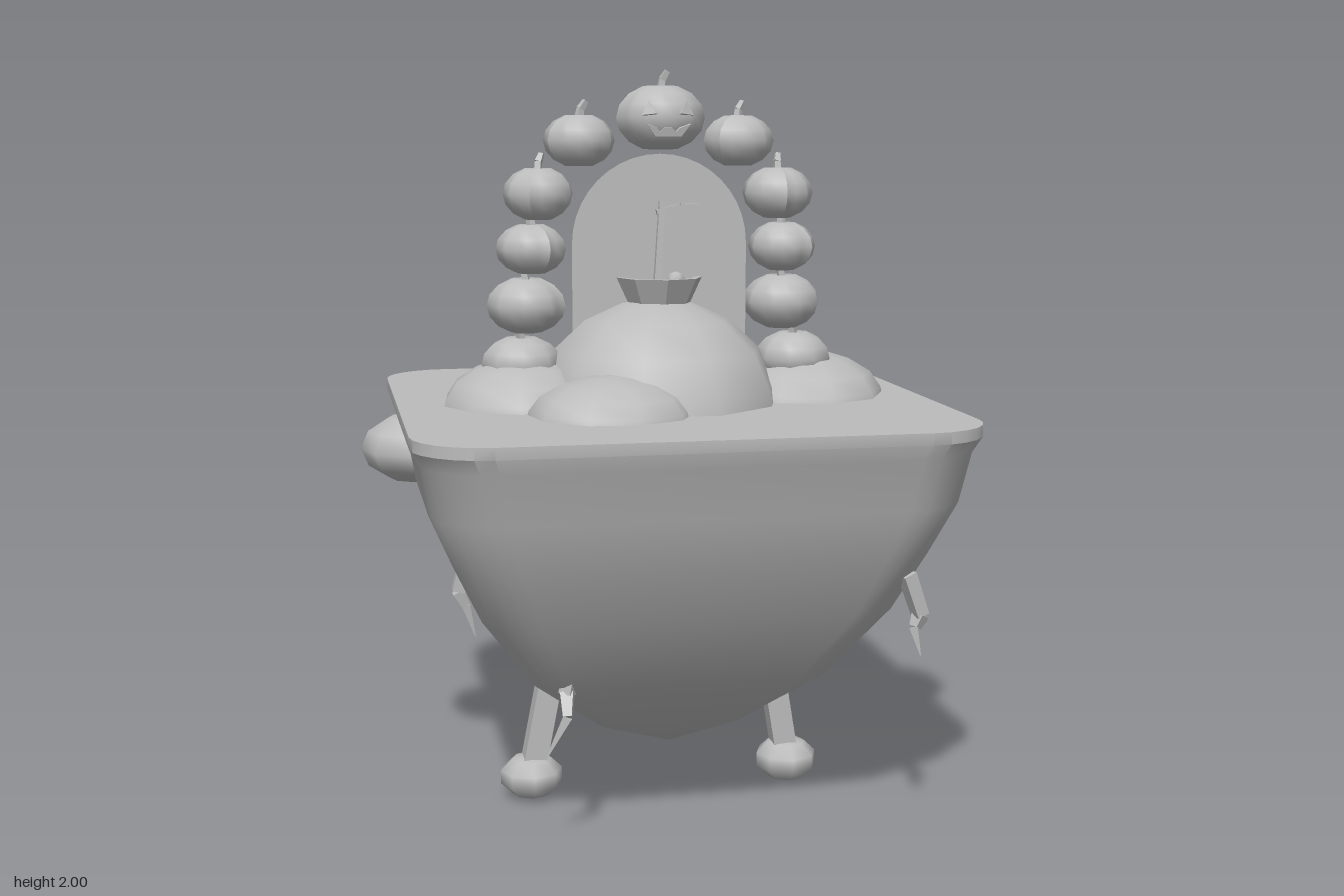
import * as THREE from 'three';
import { toCreasedNormals } from 'three/addons/utils/BufferGeometryUtils.js';

const V = (x, y, z) => new THREE.Vector3(x, y, z);

export function createModel() {
  const root = new THREE.Group();
  const grey = new THREE.MeshStandardMaterial({ color: 0xbcbcbc, side: THREE.DoubleSide });
  grey.name = 'stone grey';

  function add(name, geo, pos = [0, 0, 0], scale = [1, 1, 1], parent = root) {
    const m = new THREE.Mesh(geo, grey);
    m.name = name;
    m.position.set(...pos);
    m.scale.set(...scale);
    parent.add(m);
    return m;
  }
  const box = (name, x0, x1, y0, y1, z0, z1) =>
    add(name, new THREE.BoxGeometry(x1 - x0, y1 - y0, z1 - z0), [(x0 + x1) / 2, (y0 + y1) / 2, (z0 + z1) / 2]);

  // Square tapered bar from a to b
  function strut(name, a, b, ra, rb, parent = root) {
    const d = b.clone().sub(a), len = d.length();
    const g = toCreasedNormals(new THREE.CylinderGeometry(rb, ra, len, 4).rotateY(Math.PI / 4), 0.5);
    const m = add(name, g, a.clone().add(b).multiplyScalar(0.5).toArray(), [1, 1, 1], parent);
    m.quaternion.setFromUnitVectors(V(0, 1, 0), d.normalize());
  }

  // Floating island hull: rounded-square sections from the tip to the rim
  const sections = [[0.14, 0.004], [0.25, 0.2], [0.42, 0.395], [0.62, 0.535], [0.78, 0.61],
    [0.92, 0.67], [1.05, 0.695], [1.09, 0.715], [1.12, 0.715]];
  const pos = [], idx = [], per = 28;
  sections.forEach(([y, h], i) => {
    const r = h * 0.26, cx = i ? -0.02 : 0.01;
    for (let q = 0; q < 4; q++) {
      const sx = q === 0 || q === 3 ? 1 : -1, sz = q < 2 ? 1 : -1;
      for (let k = 0; k < 7; k++) {
        const t = (q + k / 6) * Math.PI / 2;
        pos.push(cx + sx * (h - r) + r * Math.cos(t), y, 0.205 + sz * (h - r) + r * Math.sin(t));
      }
    }
    for (let j = 0; i && j < per; j++) {
      const a = (i - 1) * per + j, b = (i - 1) * per + (j + 1) % per;
      idx.push(a, a + per, b, b, a + per, b + per);
    }
  });
  const top = (sections.length - 1) * per;
  pos.push(-0.02, 1.12, 0.205);
  for (let j = 0; j < per; j++) idx.push(top + per, top + (j + 1) % per, top + j);
  const hull = new THREE.BufferGeometry();
  hull.setAttribute('position', new THREE.Float32BufferAttribute(pos, 3));
  hull.setIndex(idx);
  add('islandHull', toCreasedNormals(hull, 0.5));

  // Mounds on the deck: x, z, rx, rz, height above the deck, turn
  const moundProfile = [[1, -0.1], [0.97, 0.15], [0.84, 0.5], [0.58, 0.79], [0.28, 0.95], [0, 1]]
    .map(p => new THREE.Vector2(...p));
  const moundGeo = new THREE.LatheGeometry(moundProfile, 10);
  [[-0.03, 0.21, 0.34, 0.37, 0.28, 0.3], [-0.2, 0.47, 0.22, 0.21, 0.105, 0.2], [-0.4, 0.22, 0.22, 0.23, 0.125, 0.5],
    [0.39, 0.15, 0.235, 0.27, 0.125, 0.1], [0.15, -0.1, 0.18, 0.18, 0.11, 0.4]]
    .forEach(([x, z, rx, rz, h, turn]) => {
      add('mound', moundGeo.clone().rotateY(turn), [x, 1.115, z], [rx, h, rz]);
    });

  // Boulders stuck in the sides
  const boulder = new THREE.SphereGeometry(1, 9, 6);
  add('leftBoulder', boulder, [0.67, 1.0, 0.205], [0.15, 0.1, 0.18]);
  add('rightBoulder', boulder, [-0.68, 0.99, 0.12], [0.15, 0.095, 0.17]);

  // Legs with rounded feet
  for (const [x0, x1, xf] of [[0.285, 0.345, 0.35], [-0.31, -0.38, -0.385]]) {
    strut('leg', V(x1, 0.09, 0.205), V(x0, 0.45, 0.205), 0.045, 0.045);
    add('foot', new THREE.SphereGeometry(1, 8, 5), [xf, 0.062, 0.205], [0.09, 0.062, 0.09]);
  }

  // Crooked roots hanging from the hull
  const roots = [
    [[0.51, 0.73, 0.75], [0.55, 0.62, 0.745], [0.535, 0.59, 0.75], [0.545, 0.52, 0.77]],
    [[-0.32, 0.53, 0.59], [-0.34, 0.42, 0.6], [-0.345, 0.37, 0.64], [-0.4, 0.26, 0.63]],
    [[0.51, 0.73, -0.32], [0.545, 0.63, -0.345], [0.53, 0.58, -0.335], [0.545, 0.5, -0.345]],
    [[-0.33, 0.52, -0.18], [-0.35, 0.44, -0.23], [-0.38, 0.39, -0.215], [-0.4, 0.3, -0.235]],
    [[-0.55, 0.72, 0.2], [-0.58, 0.6, 0.2], [-0.56, 0.56, 0.2], [-0.535, 0.47, 0.2]]];
  for (const pts of roots) {
    const g = new THREE.Group();
    g.name = 'root';
    root.add(g);
    const radii = [0.026, 0.024, 0.016, 0.002];
    for (let i = 0; i < 3; i++) strut('rootSegment', V(...pts[i]), V(...pts[i + 1]), radii[i], radii[i + 1], g);
  }

  // Pier: slab, planks with grooves, and a central fin reaching the mounds
  box('pierSlab', -0.3, 0.26, 1.035, 1.095, -0.92, -0.5);
  const cuts = [-0.305, -0.212, -0.117, -0.022, 0.073, 0.168, 0.265];
  for (let i = 0; i < 6; i++) box('plank', cuts[i] + 0.005, cuts[i + 1] - 0.005, 1.09, 1.12, -0.92, -0.5);
  box('pierFin', -0.033, -0.009, 1.08, 1.172, -0.92, -0.16);

  // Arch panel
  const arch = new THREE.Shape();
  arch.moveTo(-0.24, 1.12);
  arch.lineTo(0.24, 1.12);
  arch.lineTo(0.24, 1.54);
  arch.absarc(0, 1.54, 0.24, 0, Math.PI, false);
  add('archPanel', new THREE.ShapeGeometry(arch, 10), [-0.02, 0, 0.205]);

  // Ribbed pumpkins: nine lobes, dimpled poles
  const pumpkinGeo = new THREE.SphereGeometry(1, 18, 8);
  const p = pumpkinGeo.attributes.position;
  for (let i = 0; i < p.count; i++) {
    const col = i % 19, x = p.getX(i), y = p.getY(i), z = p.getZ(i);
    const k = col % 2 ? 0.9 : 1, r = Math.hypot(x, z);
    p.setXYZ(i, x * k, y * (r < 0.1 ? 0.88 : 1), z * k);
  }
  pumpkinGeo.computeVertexNormals();
  const pumpkins = [[-0.02, 1.875, 0.12, 0.09], [-0.24, 1.815, 0.097, 0.072], [0.193, 1.815, 0.097, 0.072],
    [-0.35, 1.675, 0.095, 0.073], [0.305, 1.675, 0.097, 0.073], [-0.37, 1.53, 0.096, 0.07], [0.32, 1.53, 0.093, 0.07],
    [-0.385, 1.38, 0.107, 0.078], [0.32, 1.38, 0.107, 0.078], [-0.4, 1.225, 0.11, 0.075], [0.355, 1.225, 0.105, 0.075]];
  pumpkins.forEach(([x, y, r, h], i) => {
    const g = new THREE.Group();
    g.name = 'pumpkin';
    g.position.set(x, y, 0.21);
    g.rotation.y = i * 0.4;
    root.add(g);
    add('pumpkinBody', pumpkinGeo, [0, 0, 0], [r, h, r], g);
    strut('stem', V(0, h * 0.8, 0), V(0.005, h + 0.012, 0), 0.013, 0.011, g);
    strut('stemTip', V(0.005, h + 0.01, 0), V(0.018, h + 0.032, 0.005), 0.012, 0.009, g);
  });

  // Carved face on the top pumpkin
  function plate(name, points, at, tilt, yaw) {
    const s = new THREE.Shape(points.map(q => new THREE.Vector2(...q)));
    const m = add(name, new THREE.ExtrudeGeometry(s, { depth: 0.009, bevelEnabled: false }), at);
    m.rotation.set(tilt, yaw, 0);
  }
  for (const s of [-1, 1]) {
    plate('eye', [[-0.02, -0.015], [0.02, -0.015], [0, 0.022]], [-0.02 + s * 0.047, 1.895, 0.307], -0.25, s * 0.4);
  }
  plate('mouth', [[-0.058, 0.012], [-0.035, -0.02], [0.035, -0.02], [0.058, 0.012], [0.03, 0.002],
    [0.02, -0.008], [0.008, 0.002], [-0.012, 0.002], [-0.022, -0.008], [-0.032, 0.002]], [-0.02, 1.847, 0.316], 0.2, 0);

  // Small boat on the peak, with a bundle, mast and arm
  const boat = [[0, 0], [0.083, 0], [0.118, 0.075], [0.098, 0.075], [0.08, 0.04], [0, 0.04]]
    .map(q => new THREE.Vector2(...q));
  add('boat', toCreasedNormals(new THREE.LatheGeometry(boat, 8), 0.4), [-0.022, 1.375, 0.21]);
  add('bundle', new THREE.SphereGeometry(0.026, 7, 5), [0.015, 1.442, 0.25]);
  strut('mast', V(-0.035, 1.4, 0.24), V(-0.02, 1.655, 0.235), 0.015, 0.011);
  strut('mastArm', V(-0.035, 1.625, 0.235), V(0.03, 1.642, 0.235), 0.01, 0.009);
  strut('mastArmTip', V(0.03, 1.642, 0.235), V(0.11, 1.642, 0.235), 0.01, 0.008);
  return root;
}
